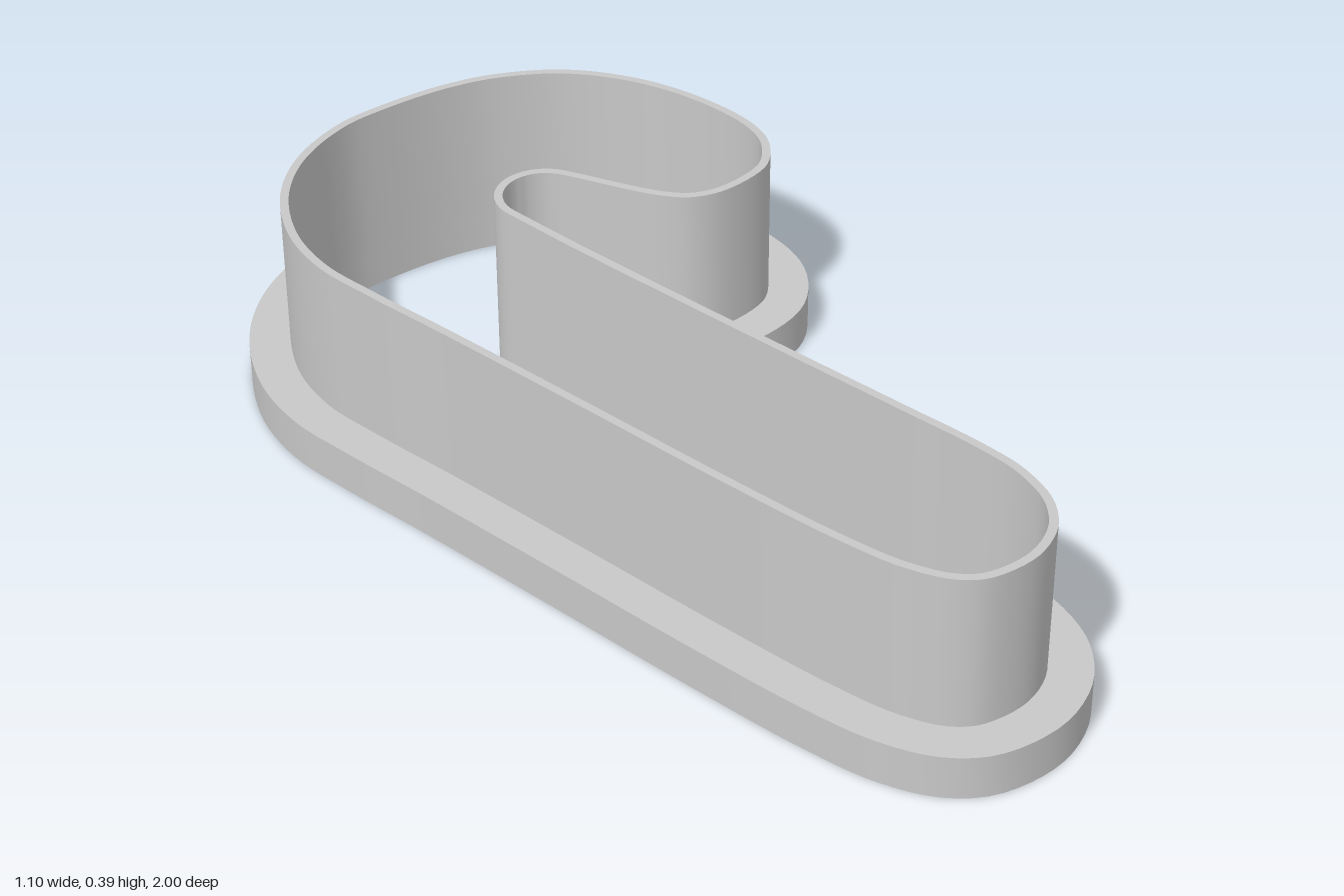
import * as THREE from 'three';
import { toCreasedNormals } from 'three/addons/utils/BufferGeometryUtils.js';

const BASE_HEIGHT = 0.085;
const TOTAL_HEIGHT = 0.385;
const WALL_INSET = 0.078;  // outer face of the wall, measured in from the flange edge
const HOLE_INSET = 0.094;  // inner face shared by wall and flange

// Flange edge as [x, z], starting and ending at the sharp notch between stem and hook
const EDGE = [
  [0, -0.46], [0.033, -0.3], [0.067, -0.15], [0.14, 0.16], [0.21, 0.45], [0.248, 0.61],
  [0.261, 0.72], [0.24, 0.84], [0.18, 0.93], [0.09, 0.985], [0, 1], [-0.085, 0.987],
  [-0.155, 0.94], [-0.215, 0.85], [-0.262, 0.72], [-0.32, 0.5], [-0.4, 0.16], [-0.472, -0.14],
  [-0.518, -0.32], [-0.548, -0.47], [-0.537, -0.62], [-0.47, -0.78], [-0.36, -0.9],
  [-0.21, -0.978], [-0.08, -0.999], [0.07, -0.999], [0.19, -0.975], [0.33, -0.905],
  [0.44, -0.79], [0.515, -0.64], [0.549, -0.46], [0.525, -0.345], [0.44, -0.245],
  [0.29, -0.205], [0.19, -0.225], [0.12, -0.28], [0, -0.46],
];
const curve = new THREE.CatmullRomCurve3(EDGE.map(([x, z]) => new THREE.Vector3(x, -z, 0)));

// Edge moved inward by a distance, with a round arc about the notch
function outline(inset) {
  const steps = 220;
  const points = [];
  const normalAngle = (u) => {
    const t = curve.getTangentAt(u);
    return Math.atan2(-t.x, t.y);
  };
  const add = (p, angle) => points.push(
    new THREE.Vector2(p.x + inset * Math.cos(angle), p.y + inset * Math.sin(angle)));
  for (let i = 0; i < steps; i++) add(curve.getPointAt(i / steps), normalAngle(i / steps));
  if (inset > 0) {
    const from = normalAngle(1);
    const to = normalAngle(0) + Math.PI * 2;
    for (let i = 0; i < 20; i++) add(curve.getPointAt(1), from + (to - from) * i / 20);
  }
  return points;
}

// Upright ring between two outlines; the hole runs the other way so its wall faces inward
function ring(name, inset, bottom, top, material) {
  const shape = new THREE.Shape(outline(inset));
  shape.holes.push(new THREE.Path(outline(HOLE_INSET).reverse()));
  const geometry = new THREE.ExtrudeGeometry(shape, { depth: top - bottom, bevelEnabled: false });
  geometry.rotateX(-Math.PI / 2);
  geometry.translate(0, bottom, 0);
  const mesh = new THREE.Mesh(toCreasedNormals(geometry, 0.6), material);
  mesh.name = name;
  return mesh;
}

export function createModel() {
  const grey = new THREE.MeshStandardMaterial({ color: 0xc8c8c8 });
  grey.name = 'grey plastic';

  const model = new THREE.Group();
  model.name = 'candyCaneCutter';
  model.add(ring('baseFlange', 0, 0, BASE_HEIGHT, grey));
  model.add(ring('cuttingWall', WALL_INSET, BASE_HEIGHT, TOTAL_HEIGHT, grey));
  return model;
}
